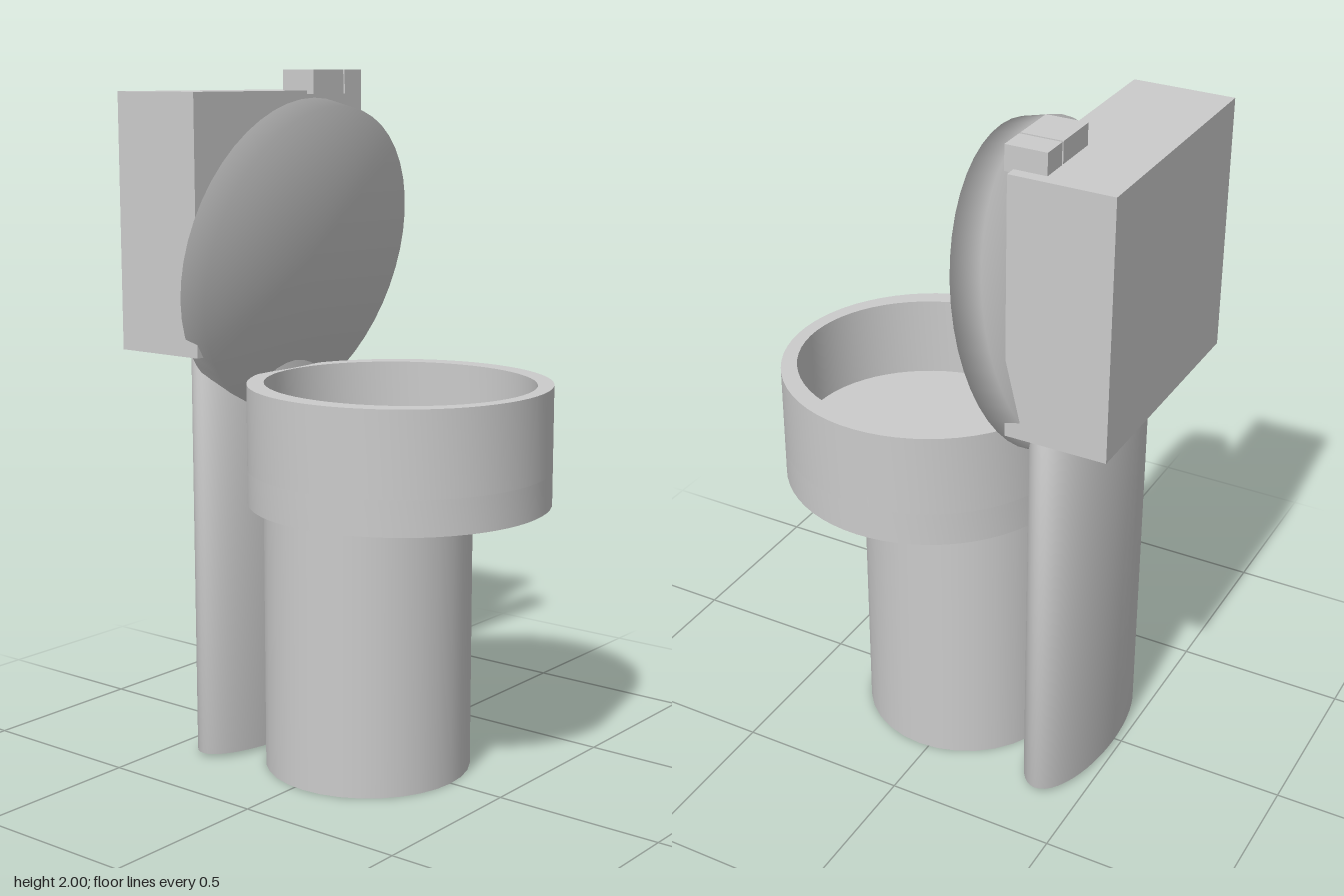
import * as THREE from 'three';
import { mergeVertices, toCreasedNormals } from 'three/addons/utils/BufferGeometryUtils.js';

export function createModel() {
  const model = new THREE.Group();
  const grey = new THREE.MeshStandardMaterial({ color: 0xcccccc });

  function add(name, geometry, x, y, z) {
    const mesh = new THREE.Mesh(geometry, grey);
    mesh.name = name;
    mesh.position.set(x, y, z);
    model.add(mesh);
    return mesh;
  }

  // Elliptical cylinder shaded softly across its edges
  function softCylinder(rx, rz, height) {
    const geo = new THREE.CylinderGeometry(1, 1, height, 48).scale(rx, 1, rz);
    geo.deleteAttribute('uv');
    geo.deleteAttribute('normal');
    const soft = mergeVertices(geo);
    soft.computeVertexNormals();
    return soft;
  }

  // Round slab with an elliptical opening, hanging down from y = 0
  function ring(radius, holeX, holeZ, holeOffset, depth) {
    const shape = new THREE.Shape().absarc(0, 0, radius, 0, Math.PI * 2);
    shape.holes.push(new THREE.Path().absellipse(0, holeOffset, holeX, holeZ, 0, Math.PI * 2, true));
    const geo = new THREE.ExtrudeGeometry(shape, { depth, bevelEnabled: false, curveSegments: 32 });
    return toCreasedNormals(geo.rotateX(Math.PI / 2), 0.5);
  }

  // Pedestal and bowl; the drain opens through the bowl floor
  add('pedestal', new THREE.CylinderGeometry(0.3, 0.3, 0.8, 32), 0, 0.4, 0.03);
  add('bowlWall', ring(0.43, 0.37, 0.39, 0, 0.24), 0, 1.14, 0.143);
  add('bowlFloor', ring(0.43, 0.08, 0.08, -0.188, 0.1), 0, 0.9, 0.143);

  // Oval column carrying the tank
  add('rearColumn', softCylinder(0.3, 0.112, 1.2), 0.02, 0.61, -0.37);

  // Tank with two flush buttons
  add('tank', new THREE.BoxGeometry(0.735, 0.73, 0.29), 0, 1.575, -0.43);
  add('largeFlushButton', new THREE.BoxGeometry(0.137, 0.07, 0.117), 0.181, 1.965, -0.318);
  add('smallFlushButton', new THREE.BoxGeometry(0.077, 0.07, 0.117), 0.295, 1.965, -0.318);

  // Raised lid leaning back towards the tank
  const lid = add('lid', softCylinder(0.43, 0.45, 0.092), 0, 1.474, -0.228);
  lid.rotation.x = Math.PI / 2 + 0.243;

  return model;
}
